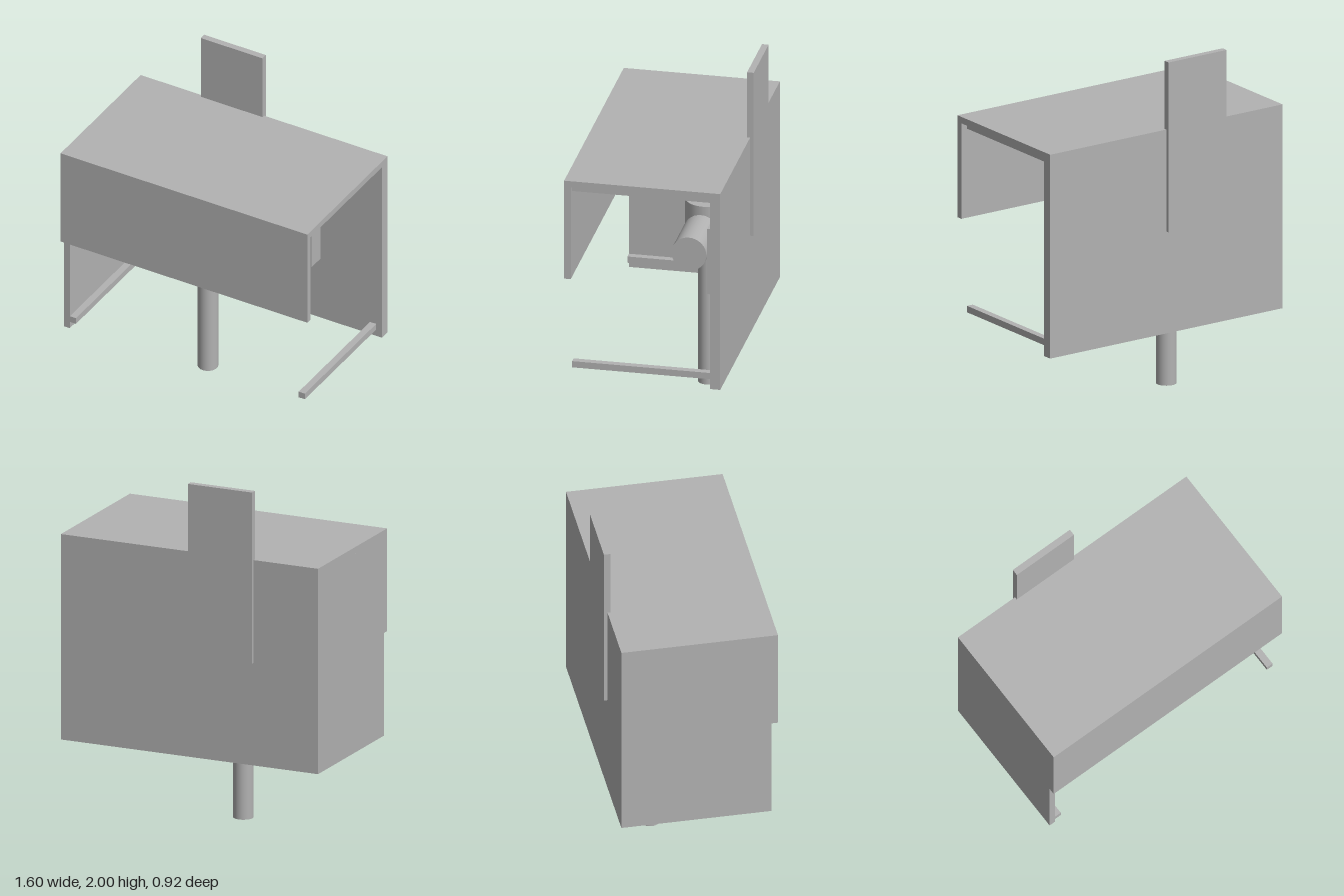
import * as THREE from 'three';

export function createModel() {
  const model = new THREE.Group();
  model.name = 'openCabinet';
  const grey = new THREE.MeshStandardMaterial({ color: 0xb2b2b2 });
  grey.name = 'plain grey';

  const add = (name, geometry, x, y, z) => {
    const mesh = new THREE.Mesh(geometry, grey);
    mesh.name = name;
    mesh.position.set(x, y, z);
    model.add(mesh);
    return mesh;
  };
  // Box given by its limits along each axis
  const box = (name, [x0, x1], [y0, y1], [z0, z1]) =>
    add(name, new THREE.BoxGeometry(x1 - x0, y1 - y0, z1 - z0),
      (x0 + x1) / 2, (y0 + y1) / 2, (z0 + z1) / 2);

  // Cabinet shell, open at the bottom, the left side and the lower front
  box('backPanel', [-0.8, 0.8], [0.4, 1.6], [-0.437, -0.377]);
  box('topPanel', [-0.8, 0.8], [1.562, 1.6], [-0.377, 0.42]);
  box('rightPanel', [-0.8, -0.762], [0.4, 1.562], [-0.377, 0.42]);
  box('frontPanel', [-0.8, 0.8], [1.0, 1.6], [0.42, 0.458]);

  // Four rails running front to back in the corners
  for (const side of [-1, 1]) {
    for (const [level, y] of [['lower', 0.443], ['upper', 1.524]]) {
      const x = side * 0.742;
      box(level + (side > 0 ? 'Left' : 'Right') + 'Rail',
        [x - 0.02, x + 0.02], [y, y + 0.038], [-0.377, 0.42]);
    }
  }

  // Upright plate on the back
  box('rearPlate', [-0.4, 0], [1.0, 2.0], [-0.458, -0.42]);

  // Mounting block with the motor, its long shaft and a lying drum
  box('mountingBlock', [-0.4, 0.4], [0.8, 1.2], [-0.377, -0.277]);
  const z = -0.155;
  add('motor', new THREE.CylinderGeometry(0.13, 0.13, 0.236, 32), -0.2, 1.002, z);
  add('shaft', new THREE.CylinderGeometry(0.058, 0.058, 0.9, 32), -0.2, 0.45, z);
  const drum = add('drum', new THREE.CylinderGeometry(0.1, 0.1, 0.32, 32), 0.16, 1.0, z);
  drum.rotation.z = Math.PI / 2;

  return model;
}
